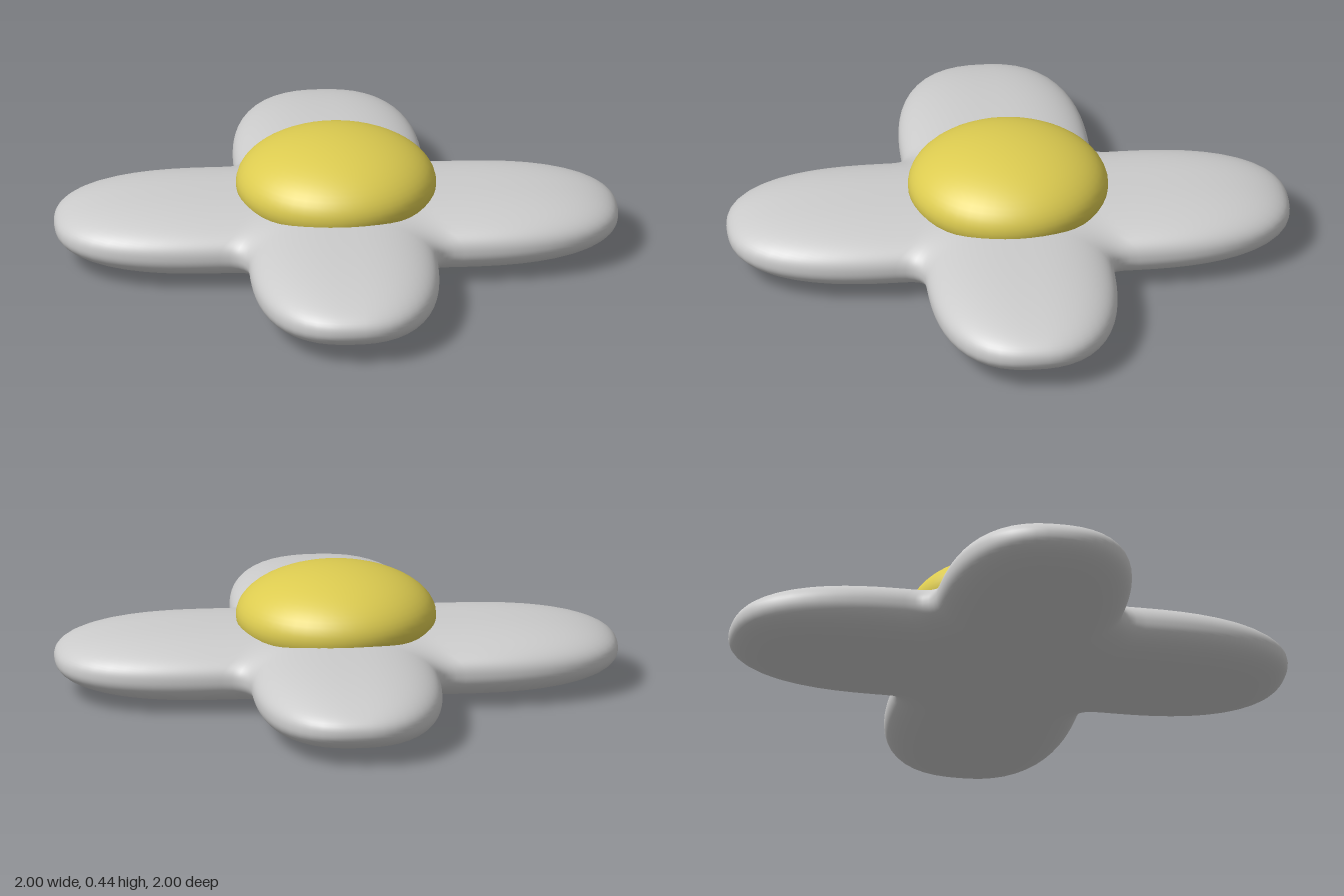
import * as THREE from 'three';

const HALF_WIDTH = 0.335, HALF_HEIGHT = 0.121, MID_Y = 0.128;
const POWER = 2.5, STRAIGHT = 0.43, BLEND = 0.24;

// Rounded bar: 1 on its surface, smaller inside
function bar(across, y, along) {
  const tip = Math.max(0, Math.abs(along) - STRAIGHT) / (1 - STRAIGHT);
  const side = Math.abs(across) / HALF_WIDTH;
  const thick = Math.abs(y) / HALF_HEIGHT;
  return (side ** POWER + tip ** POWER + thick ** 2.3) ** (1 / POWER);
}

// Two crossed bars, softly blended in the inner corners
function flower(x, y, z) {
  const a = bar(x, y, z), b = bar(z, y, x);
  const k = Math.max(BLEND - Math.abs(a - b), 0) / BLEND;
  return Math.min(a, b) - k * k * BLEND / 4;
}

// Sphere whose vertices are pushed along their rays onto the flower surface
function petalGeometry() {
  const geo = new THREE.SphereGeometry(1, 144, 56);
  const pos = geo.attributes.position, nor = geo.attributes.normal;
  const v = new THREE.Vector3(), n = new THREE.Vector3(), e = 1e-3;
  for (let i = 0; i < pos.count; i++) {
    v.fromBufferAttribute(pos, i);
    v.y *= 0.16;
    let lo = 0, hi = 3;
    for (let s = 0; s < 32; s++) {
      const mid = (lo + hi) / 2;
      if (flower(v.x * mid, v.y * mid, v.z * mid) < 1) lo = mid;
      else hi = mid;
    }
    v.multiplyScalar(lo);
    n.set(
      flower(v.x + e, v.y, v.z) - flower(v.x - e, v.y, v.z),
      flower(v.x, v.y + e, v.z) - flower(v.x, v.y - e, v.z),
      flower(v.x, v.y, v.z + e) - flower(v.x, v.y, v.z - e)
    ).normalize();
    pos.setXYZ(i, v.x, v.y, v.z);
    nor.setXYZ(i, n.x, n.y, n.z);
  }
  return geo;
}

export function createModel() {
  const group = new THREE.Group();
  group.name = 'flower';

  // Four joined petals
  const petals = new THREE.Mesh(petalGeometry(), new THREE.MeshStandardMaterial({ color: 0xcccccc }));
  petals.name = 'petals';
  petals.position.y = MID_Y;
  group.add(petals);

  // Flattened yellow dome in the middle
  const centre = new THREE.Mesh(
    new THREE.SphereGeometry(1, 48, 32),
    new THREE.MeshStandardMaterial({ color: 0xdccb50 })
  );
  centre.name = 'flowerCentre';
  centre.scale.set(0.355, 0.175, 0.355);
  centre.position.y = 0.266;
  group.add(centre);

  return group;
}
